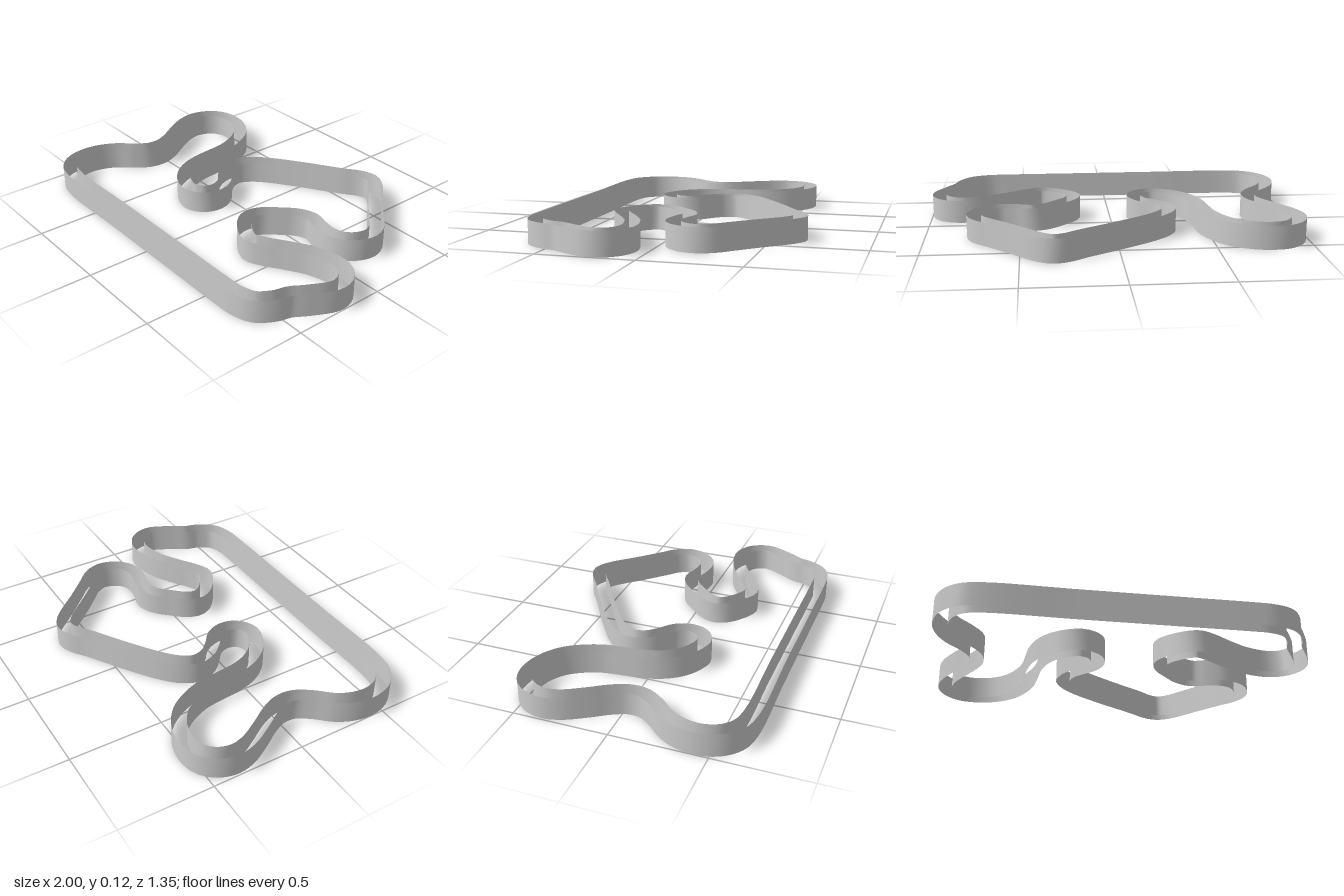
import * as THREE from 'three';

const HEIGHT = 0.125;
const HALF_WIDTH = 0.038;
const SEGMENTS = 320;

// Centre line of the circuit in plan (x, z), starting on the front straight
const CENTRE = [
  [0.2, 0.628], [-0.3, 0.628], [-0.76, 0.628], [-0.865, 0.602], [-0.933, 0.535],
  [-0.961, 0.44], [-0.95, 0.35], [-0.91, 0.265], [-0.835, 0.18], [-0.785, 0.1],
  [-0.78, 0.02], [-0.812, -0.06], [-0.875, -0.16], [-0.935, -0.27], [-0.953, -0.36],
  [-0.925, -0.445], [-0.865, -0.5], [-0.78, -0.518], [-0.68, -0.498], [-0.59, -0.44],
  [-0.53, -0.355], [-0.49, -0.25], [-0.475, -0.13], [-0.463, -0.03], [-0.435, 0.06],
  [-0.385, 0.135], [-0.32, 0.185], [-0.23, 0.212], [-0.157, 0.175], [-0.132, 0.1],
  [-0.16, 0.025], [-0.22, -0.028], [-0.275, -0.09], [-0.295, -0.17], [-0.26, -0.245],
  [-0.19, -0.315], [-0.02, -0.435], [0.18, -0.56], [0.27, -0.622], [0.335, -0.638],
  [0.4, -0.605], [0.54, -0.46], [0.645, -0.355], [0.715, -0.285], [0.742, -0.215],
  [0.725, -0.145], [0.68, -0.09], [0.61, -0.062], [0.52, -0.07], [0.43, -0.092],
  [0.355, -0.062], [0.29, 0.0], [0.225, 0.075], [0.206, 0.14], [0.24, 0.205],
  [0.375, 0.287], [0.45, 0.26], [0.56, 0.19], [0.68, 0.125], [0.83, 0.096],
  [0.92, 0.135], [0.959, 0.225], [0.9, 0.365], [0.855, 0.44], [0.835, 0.51],
  [0.78, 0.59], [0.69, 0.623], [0.58, 0.628],
];

// Open vertical ribbon running parallel to the centre line
function createWall(name, curve, offset) {
  const positions = [];
  const indices = [];
  for (let i = 0; i < SEGMENTS; i++) {
    const p = curve.getPointAt(i / SEGMENTS);
    const t = curve.getTangentAt(i / SEGMENTS);
    const x = p.x + t.z * offset;
    const z = p.z - t.x * offset;
    positions.push(x, 0, z, x, HEIGHT, z);
    const a = 2 * i;
    const b = 2 * ((i + 1) % SEGMENTS);
    indices.push(a, a + 1, b, b, a + 1, b + 1);
  }
  const geometry = new THREE.BufferGeometry();
  geometry.setAttribute('position', new THREE.Float32BufferAttribute(positions, 3));
  geometry.setIndex(indices);
  geometry.computeVertexNormals();
  const material = new THREE.MeshStandardMaterial({ color: 0xcccccc, side: THREE.DoubleSide });
  const mesh = new THREE.Mesh(geometry, material);
  mesh.name = name;
  return mesh;
}

export function createModel() {
  const group = new THREE.Group();
  group.name = 'raceTrack';
  const points = CENTRE.map(([x, z]) => new THREE.Vector3(x, 0, z));
  const curve = new THREE.CatmullRomCurve3(points, true, 'centripetal');
  curve.arcLengthDivisions = 2000;
  // The circuit's two side walls
  group.add(createWall('infieldWall', curve, HALF_WIDTH));
  group.add(createWall('outerWall', curve, -HALF_WIDTH));
  return group;
}
